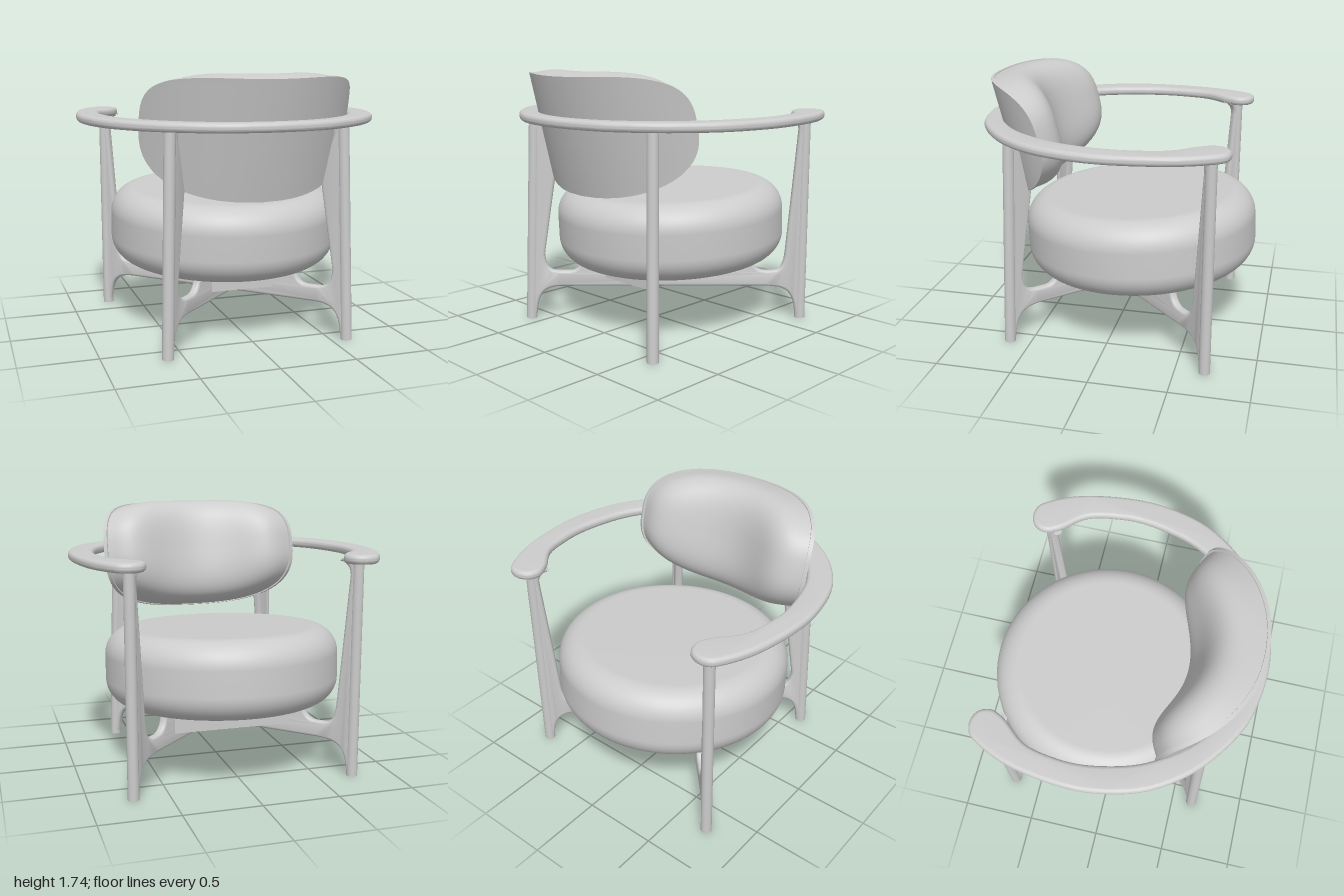
import * as THREE from 'three';
import { toCreasedNormals } from 'three/addons/utils/BufferGeometryUtils.js';

const grey = new THREE.MeshStandardMaterial({ color: 0xcccccc });
grey.name = 'light grey';

function add(parent, name, geometry) {
  const mesh = new THREE.Mesh(geometry, grey);
  mesh.name = name;
  parent.add(mesh);
  return mesh;
}

// Round rod between two points
function rod(parent, name, a, b, r) {
  const dir = b.clone().sub(a);
  const mesh = add(parent, name, new THREE.CylinderGeometry(r, r, dir.length(), 24));
  mesh.position.copy(a).addScaledVector(dir, 0.5);
  mesh.quaternion.setFromUnitVectors(new THREE.Vector3(0, 1, 0), dir.normalize());
}

// Extruded plate with rounded edges, centred on its own thickness
function plate(shape, thickness, bevel) {
  const depth = thickness - 2 * bevel;
  const g = new THREE.ExtrudeGeometry(shape, {
    depth, bevelThickness: bevel, bevelSize: bevel, bevelOffset: -bevel,
    bevelSegments: 5, curveSegments: 12,
  });
  g.translate(0, 0, -depth / 2);
  return toCreasedNormals(g, 0.6);
}

// One diagonal frame: front leg, cross bar and opposite back leg in one plane
function diagonalFrame() {
  const group = new THREE.Group();
  const s = new THREE.Shape();
  s.moveTo(0, 0.23);
  s.lineTo(0.78, 0.23);
  s.bezierCurveTo(0.93, 0.23, 0.98, 0.19, 0.995, 0.03);
  s.lineTo(1.03, 0.03);
  s.lineTo(1.03, 1.41);
  s.lineTo(0.91, 1.41);
  s.quadraticCurveTo(0.985, 1.4, 0.985, 1.32);
  s.lineTo(0.915, 0.47);
  s.bezierCurveTo(0.905, 0.37, 0.88, 0.34, 0.82, 0.34);
  s.lineTo(0.78, 0.34);
  s.quadraticCurveTo(0.69, 0.34, 0.68, 0.46);
  s.lineTo(-0.49, 0.43);
  s.quadraticCurveTo(-0.51, 0.34, -0.58, 0.34);
  s.lineTo(-0.65, 0.34);
  s.bezierCurveTo(-0.72, 0.34, -0.745, 0.37, -0.752, 0.46);
  s.lineTo(-0.66, 1.06);
  s.quadraticCurveTo(-0.655, 1.09, -0.66, 1.12);
  s.lineTo(-0.74, 1.34);
  s.quadraticCurveTo(-0.735, 1.4, -0.68, 1.41);
  s.lineTo(-0.8, 1.41);
  s.lineTo(-0.85, 0.03);
  s.lineTo(-0.815, 0.03);
  s.bezierCurveTo(-0.8, 0.19, -0.75, 0.23, -0.62, 0.23);
  s.closePath();
  add(group, 'crossBar', plate(s, 0.056, 0.02));
  const v = (x, y) => new THREE.Vector3(x, y, 0);
  rod(group, 'frontLeg', v(1.03, 0), v(1.03, 1.42), 0.036);
  rod(group, 'backLeg', v(-0.853, 0), v(-0.8, 1.42), 0.037);
  return group;
}

// Curved armrest rail: mirrored outline, from the middle of the back round the tip
function armRail() {
  const half = [
    [0.2, 0.885], [0.4, 0.827], [0.7, 0.62], [0.9, 0.35], [0.985, 0.06], [0.997, -0.17], [0.94, -0.53],
    [0.845, -0.74], [0.8, -0.79], [0.73, -0.805], [0.66, -0.775], [0.63, -0.7], [0.665, -0.61],
    [0.79, -0.45], [0.835, -0.25], [0.838, -0.07], [0.78, 0.2], [0.71, 0.35], [0.55, 0.56], [0.3, 0.725],
  ];
  const at = (x, z) => new THREE.Vector3(x, -z, 0);
  const pts = [
    at(0, 0.905), ...half.map(([x, z]) => at(x, z)),
    at(0, 0.785), ...half.slice().reverse().map(([x, z]) => at(-x, z)),
  ];
  const loop = new THREE.CatmullRomCurve3(pts, true).getPoints(210).slice(0, -1);
  const shape = new THREE.Shape(loop.map((p) => new THREE.Vector2(p.x, p.y)));
  return plate(shape, 0.06, 0.026).rotateX(-Math.PI / 2);
}

// Backrest surface: rows of [outline scale, depth towards the sitter] on a bent rounded panel
function bentPanel(rows) {
  const N = 96, R = 0.8, maxAngle = 1.07, halfHeight = 0.39, pos = [], index = [];
  const pow = (c) => Math.sign(c) * Math.abs(c) ** (2 / 2.8);
  rows.forEach(([s, t], i) => {
    for (let j = 0; j < N; j++) {
      const p = (j / N) * Math.PI * 2;
      const a = pow(Math.cos(p)) * s * maxAngle;
      pos.push((R - t) * Math.sin(a), pow(Math.sin(p)) * s * halfHeight, (R - t) * Math.cos(a) - R);
      if (i === rows.length - 1) continue;
      const k = (j + 1) % N, A = i * N, B = A + N;
      index.push(A + j, B + j, B + k, A + j, B + k, A + k);
    }
  });
  const g = new THREE.BufferGeometry();
  g.setAttribute('position', new THREE.Float32BufferAttribute(pos, 3));
  g.setIndex(index);
  return toCreasedNormals(g, 0.7);
}

export function createModel() {
  const model = new THREE.Group();
  model.name = 'armchair';

  // Two crossing frames
  [Math.PI / 4, (3 * Math.PI) / 4].forEach((angle, i) => {
    const frame = diagonalFrame();
    frame.name = i ? 'diagonalFrameRight' : 'diagonalFrameLeft';
    frame.rotation.y = angle;
    frame.position.z = 0.04;
    model.add(frame);
  });

  // Rails under the seat
  for (const [name, z, w] of [['backSeatRail', 0.27, 0.46], ['frontSeatRail', -0.37, 0.8]]) {
    add(model, name, new THREE.BoxGeometry(w, 0.14, 0.045)).position.set(0, 0.365, z);
  }

  // Armrest
  add(model, 'armRail', armRail()).position.y = 1.43;

  // Round seat cushion, tipped up at the open side
  const h = 0.252, r = 0.78, c = 0.17, profile = [new THREE.Vector2(0, -h)];
  for (const side of [-1, 1]) {
    for (let i = 0; i <= 10; i++) {
      const a = ((side < 0 ? i - 10 : i) / 10) * Math.PI / 2;
      profile.push(new THREE.Vector2(r - c + c * Math.cos(a), side * (h - c) + c * Math.sin(a)));
    }
  }
  profile.push(new THREE.Vector2(0, h));
  const seat = add(model, 'seatCushion', new THREE.LatheGeometry(profile, 80));
  seat.position.set(0, 0.69, -0.13);
  seat.rotation.x = 0.052;

  // Reclined backrest: thin bent shell and thick pad
  const back = new THREE.Group();
  back.name = 'backrest';
  back.position.set(0, 1.33, 0.77);
  back.rotation.x = 0.25;
  model.add(back);
  const shell = [], pad = [];
  for (let i = 0; i <= 12; i++) shell.push([i / 12, 0]);
  shell.push([1, 0.025], [0.96, 0.025]);
  for (let i = 0; i <= 28; i++) {
    const s = Math.cos((i / 28) * Math.PI / 2);
    pad.push([s * 0.985, 0.02 + 0.3 * Math.max(0, 1 - s ** 3.5) ** (1 / 3.5)]);
  }
  add(back, 'backShell', bentPanel(shell));
  add(back, 'backPad', bentPanel(pad));

  return model;
}
